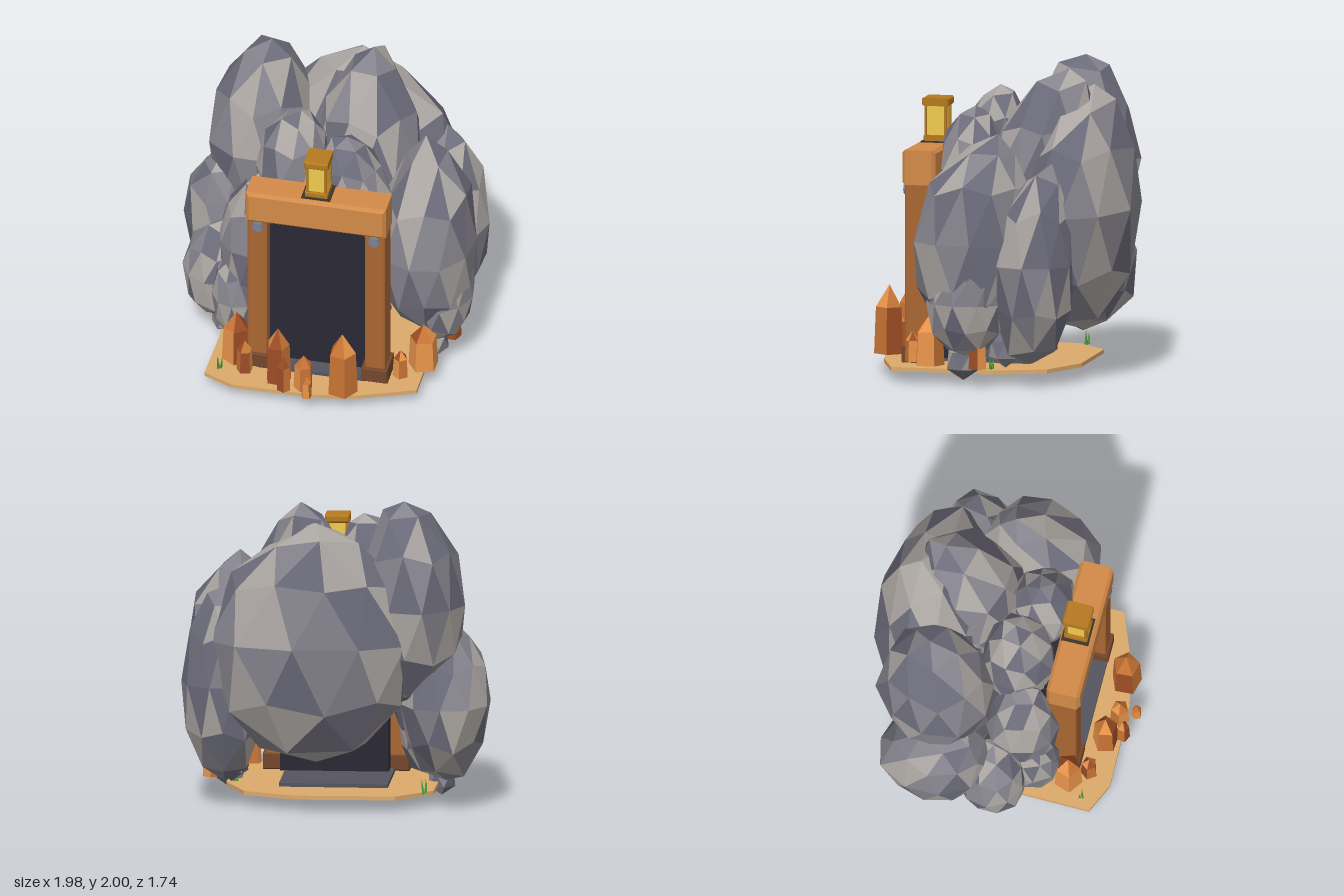
import * as THREE from 'three';

const mat = (color, extra = {}) => new THREE.MeshStandardMaterial({ color, flatShading: true, ...extra });
const M = {
  wood: mat(0xd28a48), post: mat(0xa96632), base: mat(0x74462c),
  dark: mat(0x2a2834), slab: mat(0x54545f), sand: mat(0xdcaa6c),
  brass: mat(0xb57a20), glow: mat(0xf2ca50), bolt: mat(0x76819a), iron: mat(0x3a3430),
  grass: mat(0x4f9a3a, { side: THREE.DoubleSide }),
};
const ROCK = [mat(0x85838c), mat(0xaaa5a1), mat(0x6c6b7a)];
const CRYSTAL = [mat(0xe8944a), mat(0xc87434), mat(0x9c4c26)];

const fract = v => v - Math.floor(v);
const hash = (a, b, c, seed) => fract(Math.sin(a * 12.9 + b * 78.2 + c * 37.7 + seed * 5.3) * 43.7);

// Spreads three shades over the facets, each made of n triangles
const shadeFacets = (g, n, seed) => {
  const total = g.attributes.position.count / 3;
  for (let t = 0; t < total; t += n) g.addGroup(t * 3, n * 3, Math.floor(hash(t, seed, 1, seed) * 3));
  return g;
};

export function createModel() {
  const model = new THREE.Group();
  const add = (name, geo, material, x = 0, y = 0, z = 0, parent = model) => {
    const mesh = new THREE.Mesh(geo, material);
    mesh.name = name;
    mesh.position.set(x, y, z);
    parent.add(mesh);
    return mesh;
  };
  // Box given by its lower and upper limits
  const box = (name, material, x0, x1, y0, y1, z0, z1, parent) =>
    add(name, new THREE.BoxGeometry(x1 - x0, y1 - y0, z1 - z0), material,
      (x0 + x1) / 2, (y0 + y1) / 2, (z0 + z1) / 2, parent);
  // Box with chamfered edges
  const beam = (name, material, x0, x1, y0, y1, z0, z1, b, parent) => {
    const s = new THREE.Shape();
    s.moveTo(x0 + b, y0 + b).lineTo(x1 - b, y0 + b).lineTo(x1 - b, y1 - b).lineTo(x0 + b, y1 - b).closePath();
    const g = new THREE.ExtrudeGeometry(s, {
      depth: z1 - z0 - 2 * b, bevelEnabled: true, bevelSize: b, bevelThickness: b, bevelSegments: 1,
    });
    return add(name, g, material, 0, 0, z0 + b, parent);
  };

  // Boulders: stretched icosahedra with nudged corners and a tapered peak that leans by (lx, lz)
  const boulder = (name, seed, x, y, z, rx, ry, rz, lx = 0, lz = 0) => {
    const g = new THREE.IcosahedronGeometry(1, rx < 0.13 ? 0 : 1);
    g.rotateZ(-Math.atan(2 / (1 + Math.sqrt(5))));
    g.rotateY(seed * 1.7);
    const p = g.attributes.position;
    for (let i = 0; i < p.count; i++) {
      const [a, b, c] = [p.getX(i), p.getY(i), p.getZ(i)].map(v => Math.round(v * 100) / 100);
      const k = Math.abs(b) > 0.95 ? 1 : 0.94 + 0.13 * hash(a, b, c, seed);
      const up = Math.max(b, 0);
      const side = k * (1 - 0.24 * up * up);
      p.setXYZ(i, a * side * rx + lx * up * up, b * k * ry, c * side * rz + lz * up * up);
    }
    g.computeVertexNormals();
    add(name, shadeFacets(g, 1, seed), ROCK, x, y, z);
  };
  [
    ['backBoulder', 0.11, 1.1, -0.5, 0.67, 0.79, 0.37, 0, -0.11],
    ['leftPeak', -0.49, 1.32, -0.35, 0.36, 0.68, 0.38, 0.04, -0.06],
    ['centrePeak', 0.2, 1.27, -0.31, 0.36, 0.73, 0.37, 0.01, -0.16],
    ['rightBoulder', 0.67, 0.93, 0.07, 0.33, 0.69, 0.39, -0.04, -0.18],
    ['rightBackBoulder', 0.71, 0.8, -0.35, 0.28, 0.65, 0.29, -0.02, -0.13],
    ['rightLowBoulder', 0.78, 0.54, 0.06, 0.2, 0.35, 0.26, 0.1, -0.12],
    ['leftBoulder', -0.71, 0.68, -0.32, 0.29, 0.51, 0.36, -0.03, 0.14],
    ['leftLowBoulder', -0.7, 0.49, 0.06, 0.23, 0.38, 0.23, 0.06, 0],
    ['leftFrameBoulder', -0.46, 0.87, 0.2, 0.2, 0.52, 0.23, 0.07, 0],
    ['leftFrontBoulder', -0.53, 0.47, 0.25, 0.16, 0.36, 0.22, 0, 0],
    ['topLeftBoulder', -0.2, 1.4, 0.11, 0.25, 0.43, 0.24, 0.05, -0.03],
    ['topRightBoulder', 0.19, 1.34, 0.18, 0.26, 0.39, 0.22, -0.02, -0.02],
    ['rightPebble', 0.72, 0.16, 0.1, 0.12, 0.13, 0.125],
    ['leftPebble', -0.65, 0.11, 0.08, 0.1, 0.11, 0.1],
    ['rightBackPebble', 0.68, 0.24, -0.17, 0.125, 0.125, 0.125],
  ].forEach(([name, ...v], i) => boulder(name, i + 1, ...v));

  // Sandy ground plate with an irregular outline
  const outline = [[-0.65, 0.69], [-0.45, 0.78], [0.1, 0.77], [0.36, 0.72], [0.72, 0.58], [0.72, -0.1],
    [0.58, -0.42], [0.25, -0.56], [-0.4, -0.54], [-0.63, -0.32]];
  const ground = new THREE.ExtrudeGeometry(
    new THREE.Shape(outline.map(([x, z]) => new THREE.Vector2(x, -z))), { depth: 0.026, bevelEnabled: false });
  add('ground', ground.rotateX(-Math.PI / 2), M.sand, 0, 0.072, 0);
  box('floorSlab', M.slab, -0.33, 0.37, 0.095, 0.122, -0.25, 0.56);

  // Doorway with a dark recess
  const door = new THREE.Group();
  door.name = 'doorway';
  model.add(door);
  box('recess', M.dark, -0.3, 0.4, 0.12, 1.26, 0.2, 0.45, door);
  for (const s of [-1, 1]) {
    const x = 0.05 + s * 0.387;
    beam('post', M.post, x - 0.065, x + 0.065, 0.1, 1.26, 0.36, 0.545, 0.008, door);
    beam('postBase', M.base, x - 0.085, x + 0.085, 0.1, 0.205, 0.35, 0.565, 0.008, door);
    const bolt = new THREE.CylinderGeometry(0.036, 0.036, 0.03, 8).rotateX(Math.PI / 2);
    add('bolt', bolt, M.bolt, x - s * 0.005, 1.215, 0.55, door);
    const brace = box('cornerBrace', M.base, -0.04, 0.04, -0.012, 0.012, 0.4, 0.5, door);
    brace.position.set(0.05 + s * 0.305, 1.235, 0.46);
    brace.rotation.z = -s * Math.PI / 4;
  }
  beam('lintel', M.wood, -0.41, 0.51, 1.25, 1.475, 0.345, 0.565, 0.02, door);

  // Lantern on the lintel
  const lantern = new THREE.Group();
  lantern.name = 'lantern';
  lantern.position.set(0.045, 0, 0.445);
  model.add(lantern);
  box('footPlate', M.iron, -0.095, 0.095, 1.47, 1.483, -0.09, 0.09, lantern);
  beam('lanternBase', M.brass, -0.075, 0.075, 1.48, 1.52, -0.078, 0.078, 0.006, lantern);
  box('lanternGlass', M.glow, -0.055, 0.055, 1.515, 1.72, -0.06, 0.06, lantern);
  for (const sx of [-1, 1]) for (const sz of [-1, 1])
    add('lanternBar', new THREE.BoxGeometry(0.016, 0.2, 0.016), M.brass, sx * 0.06, 1.615, sz * 0.065, lantern);
  beam('lanternCap', M.brass, -0.078, 0.078, 1.71, 1.762, -0.088, 0.088, 0.01, lantern);

  // Pointed crystals: x, z, radius, tip height
  [
    [-0.48, 0.51, 0.095, 0.48], [-0.4, 0.63, 0.055, 0.35], [-0.17, 0.68, 0.085, 0.52], [-0.11, 0.78, 0.045, 0.38],
    [0.01, 0.73, 0.065, 0.37], [0.05, 0.83, 0.034, 0.28], [0.26, 0.71, 0.1, 0.565], [0.59, 0.47, 0.052, 0.32],
    [0.71, 0.33, 0.1, 0.44], [0.82, -0.02, 0.06, 0.34],
  ].forEach(([x, z, r, top], i) => {
    const h = top - 0.12;
    const profile = [[0, 0], [r, 0], [r * 0.88, h * 0.68], [0, h]].map(([a, b]) => new THREE.Vector2(a, b));
    const g = shadeFacets(new THREE.LatheGeometry(profile, 5).toNonIndexed(), 2, i + 2);
    add('crystal', g, CRYSTAL, x, 0.12, z).rotation.y = i * 0.9;
  });

  // Grass tufts
  for (const [x, z] of [[-0.57, 0.62], [-0.58, -0.38], [0.66, -0.07]]) {
    for (let i = 0; i < 3; i++) {
      const blade = add('grassBlade', new THREE.ConeGeometry(0.011, 0.11 - i * 0.015, 3).translate(0, 0.05, 0), M.grass,
        x + 0.01 * Math.cos(i * 2.1), 0.09, z + 0.01 * Math.sin(i * 2.1));
      blade.rotation.z = (i - 1) * 0.12;
    }
  }
  return model;
}
